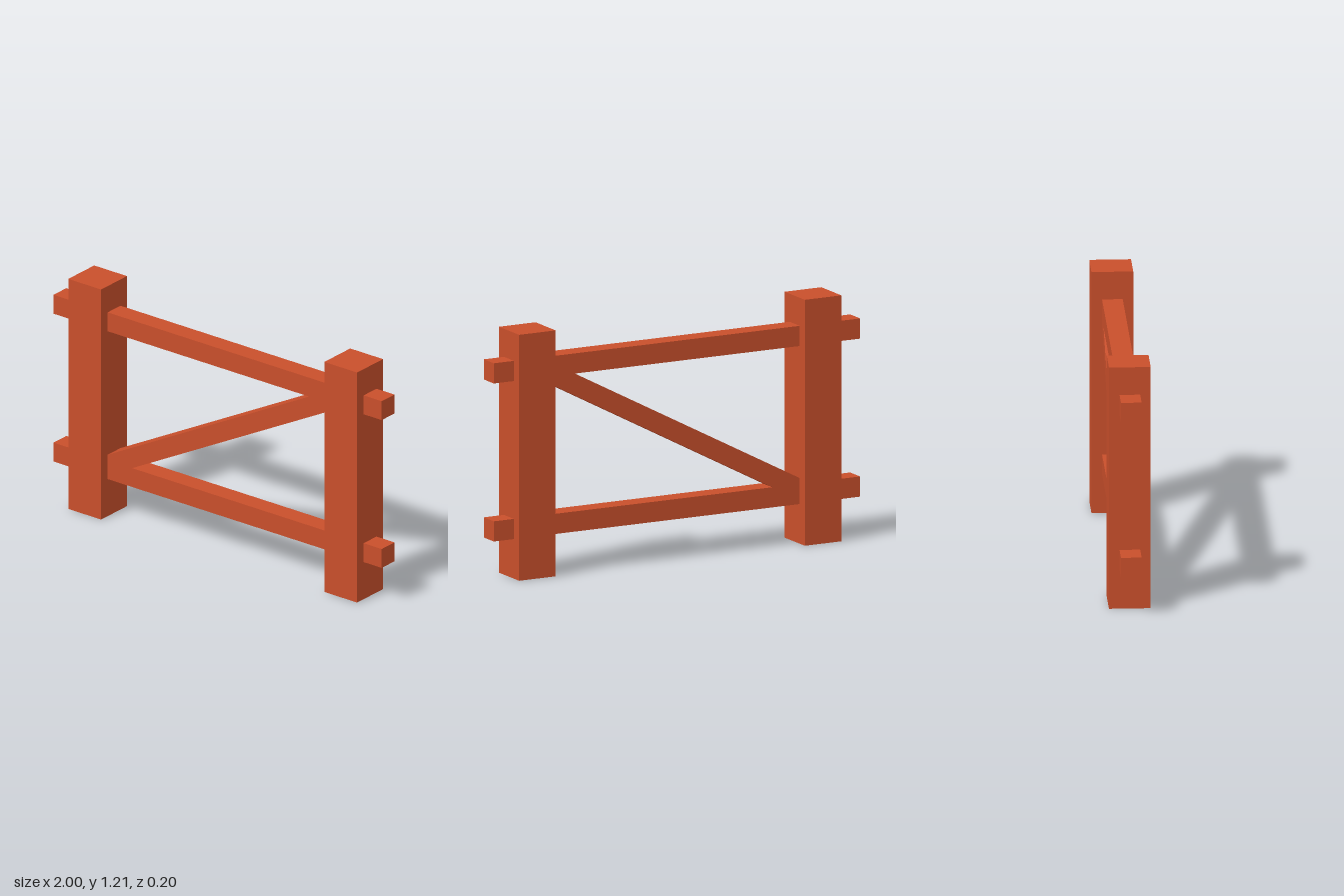
import * as THREE from 'three';

export function createModel() {
  const group = new THREE.Group();
  const paint = new THREE.MeshStandardMaterial({ color: 0xc94f2b, flatShading: true });

  // Adds one squared timber centred at (x, y)
  function timber(name, width, height, depth, x, y, tilt = 0) {
    const mesh = new THREE.Mesh(new THREE.BoxGeometry(width, height, depth), paint);
    mesh.name = name;
    mesh.position.set(x, y, 0);
    mesh.rotation.z = tilt;
    group.add(mesh);
  }

  // Upright posts
  const postHeight = 1.206;
  timber('rightPost', 0.2, postHeight, 0.2, -0.77, postHeight / 2);
  timber('leftPost', 0.2, postHeight, 0.2, 0.79, postHeight / 2);

  // Horizontal rails passing through both posts
  const rail = 0.099;
  timber('lowerRail', 2, rail, rail, 0, 0.244);
  timber('upperRail', 2, rail, rail, 0, 1.019);

  // Diagonal brace, its ends buried in the posts
  const rise = 0.823, run = 1.56;
  timber('diagonalBrace', Math.hypot(run, rise), 0.095, rail, 0.01, 0.627, Math.atan2(rise, run));

  return group;
}
